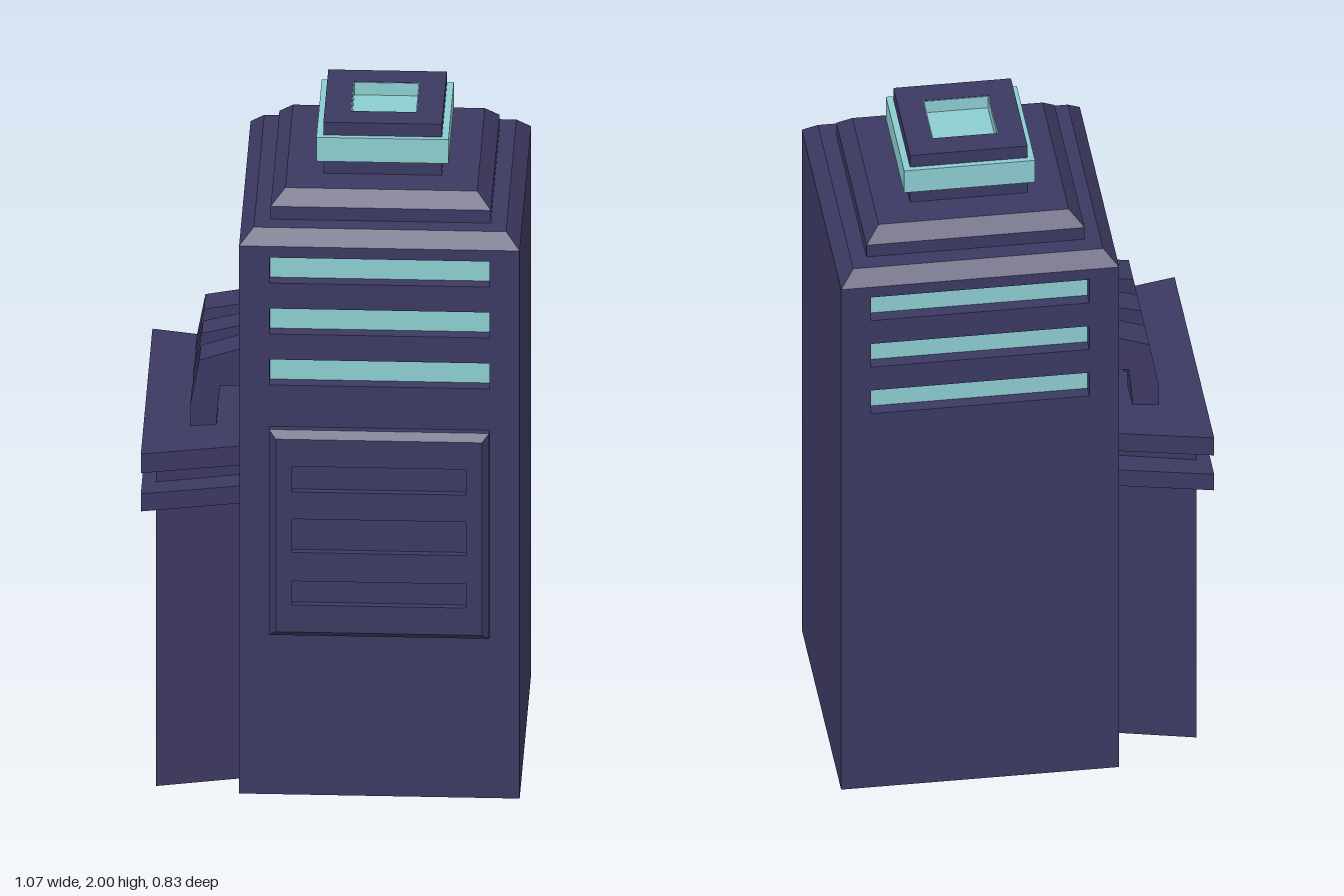
import * as THREE from 'three';

const dark = new THREE.MeshStandardMaterial({ color: 0x3c3962, flatShading: true });
const teal = new THREE.MeshStandardMaterial({ color: 0x8ccdd0, flatShading: true });

const CX = 0.135, CZ = -0.02; // tower axis

function add(parent, name, geometry, material, x = 0, y = 0, z = 0) {
  const mesh = new THREE.Mesh(geometry, material);
  mesh.name = name;
  mesh.position.set(x, y, z);
  parent.add(mesh);
  return mesh;
}

// Rectangle corners from limits
const rect = (x0, x1, y0, y1) => [[x0, y0], [x1, y0], [x1, y1], [x0, y1]];
const toVectors = pts => pts.map(p => new THREE.Vector2(...p));

// Flat plate with optional openings, extruded along +z
function plate(outline, holes, depth) {
  const shape = new THREE.Shape(toVectors(outline));
  holes.forEach(h => shape.holes.push(new THREE.Path(toVectors(h))));
  return new THREE.ExtrudeGeometry(shape, { depth, bevelEnabled: false });
}

// Same plate lying flat, extruded along +y; the outline is [x, -z]
const flatPlate = (outline, holes, depth) => plate(outline, holes, depth).rotateX(-Math.PI / 2);

// Four-sided chamfer, shrinking by inset on each side towards +y
function chamfer(w, d, h, inset, open = false) {
  const g = new THREE.CylinderGeometry(Math.SQRT1_2, Math.SQRT1_2, h, 4, 1, open);
  g.rotateY(Math.PI / 4);
  const p = g.attributes.position;
  for (let i = 0; i < p.count; i++) {
    const s = p.getY(i) > 0 ? 2 * inset : 0;
    p.setX(i, p.getX(i) * (w - s));
    p.setZ(i, p.getZ(i) * (d - s));
  }
  return g;
}

function createTower() {
  const tower = new THREE.Group();
  tower.name = 'tower';
  const half = 0.395, height = 1.72, recess = 0.04;
  const slotRows = [[1.285, 1.365], [1.445, 1.525], [1.605, 1.685]];
  const slots = slotRows.map(([a, b]) => rect(-0.31, 0.31, a, b));

  // Core with slotted front and back skins
  add(tower, 'core', new THREE.BoxGeometry(half * 2, height, 2 * (half - recess)), dark, CX, height / 2, CZ);
  for (const side of [1, -1]) {
    const skin = plate(rect(-half, half, 0, height), slots, recess);
    add(tower, side > 0 ? 'frontSkin' : 'backSkin', skin, dark,
      CX, 0, CZ + (side > 0 ? half - recess : -half));
    for (const [a, b] of slotRows) {
      add(tower, 'lightStrip', new THREE.BoxGeometry(0.62, b - a, 0.004), teal,
        CX, (a + b) / 2, CZ + side * (half - recess));
    }
  }

  // Stepped roof
  add(tower, 'roofEdge', chamfer(0.79, 0.79, 0.04, 0.04), dark, CX, 1.74, CZ);
  add(tower, 'roofStep', new THREE.BoxGeometry(0.62, 0.04, 0.605), dark, CX, 1.78, CZ);
  add(tower, 'roofStepEdge', chamfer(0.62, 0.605, 0.04, 0.04), dark, CX, 1.82, CZ);

  // Chimney with glowing band and sunken lit top
  const neck = 0.167, hole = 0.0925;
  add(tower, 'chimneyBase', new THREE.BoxGeometry(neck * 2, 0.115, neck * 2), dark, CX, 1.8975, CZ);
  add(tower, 'chimneyRim', flatPlate(rect(-neck, neck, -neck, neck),
    [rect(-hole, hole, -hole, hole)], 0.045), dark, CX, 1.955, CZ);
  add(tower, 'chimneyLight', new THREE.BoxGeometry(hole * 2, 0.004, hole * 2), teal, CX, 1.957, CZ);
  const lining = hole - 0.002;
  add(tower, 'chimneyLining', flatPlate(rect(-hole, hole, -hole, hole),
    [rect(-lining, lining, -lining, lining)], 0.044), teal, CX, 1.955, CZ);
  add(tower, 'chimneyBand', new THREE.BoxGeometry(0.372, 0.075, 0.366), teal, CX, 1.9225, CZ);
  return tower;
}

function createFrontPanel() {
  const panel = new THREE.Group();
  panel.name = 'frontPanel';
  const w = 0.62, h = 0.645, y = 0.8325;
  const grooves = [[0.615, 0.69], [0.78, 0.885], [0.97, 1.05]].map(([a, b]) => rect(-0.245, 0.245, a - y, b - y));
  add(panel, 'panelBack', new THREE.BoxGeometry(w, h, 0.02), dark, 0, 0, 0.01);
  add(panel, 'panelChamfer', chamfer(w, h, 0.02, 0.02, true).rotateX(Math.PI / 2), dark, 0, 0, 0.03);
  add(panel, 'panelFace', plate(rect(-w / 2 + 0.02, w / 2 - 0.02, -h / 2 + 0.02, h / 2 - 0.02),
    grooves, 0.02), dark, 0, 0, 0.02);
  panel.position.set(CX, y, 0.375);
  return panel;
}

function createSideUnit() {
  const unit = new THREE.Group();
  unit.name = 'sideUnit';
  const midZ = 0.0175;
  // Wedge-shaped plan, wider at the outer side
  const wedge = (x, outer, inner) => [[x, -outer], [-0.26, -inner], [-0.26, inner], [x, outer]];
  const slab = wedge(-0.535, 0.397, 0.335);
  add(unit, 'cabinet', flatPlate(wedge(-0.495, 0.32, 0.262), [], 1.05), dark, 0, 0, midZ);
  add(unit, 'lowerSlab', flatPlate(slab, [], 0.055), dark, 0, 0.9, midZ);
  add(unit, 'upperSlab', flatPlate(slab, [], 0.06), dark, 0, 1.02, midZ);

  // Bent ducts; the outer two lean towards the middle one
  const bend = [[-0.403, 1.07], [-0.33, 1.07], [-0.33, 1.1], [-0.32, 1.2], [-0.25, 1.2],
    [-0.25, 1.318], [-0.378, 1.285], [-0.403, 1.15]];
  for (const side of [-1, 0, 1]) {
    const width = side ? 0.095 : 0.08;
    const duct = plate(bend, [], width).translate(0, 0, -width / 2);
    const p = duct.attributes.position;
    for (let i = 0; i < p.count; i++) {
      p.setZ(i, p.getZ(i) - side * 0.15 * (p.getX(i) + 0.403));
    }
    duct.computeVertexNormals();
    add(unit, 'duct', duct, dark, 0, 0, midZ + side * 0.165);
  }
  return unit;
}

export function createModel() {
  const model = new THREE.Group();
  model.name = 'machineTower';
  model.add(createTower(), createFrontPanel(), createSideUnit());
  return model;
}
